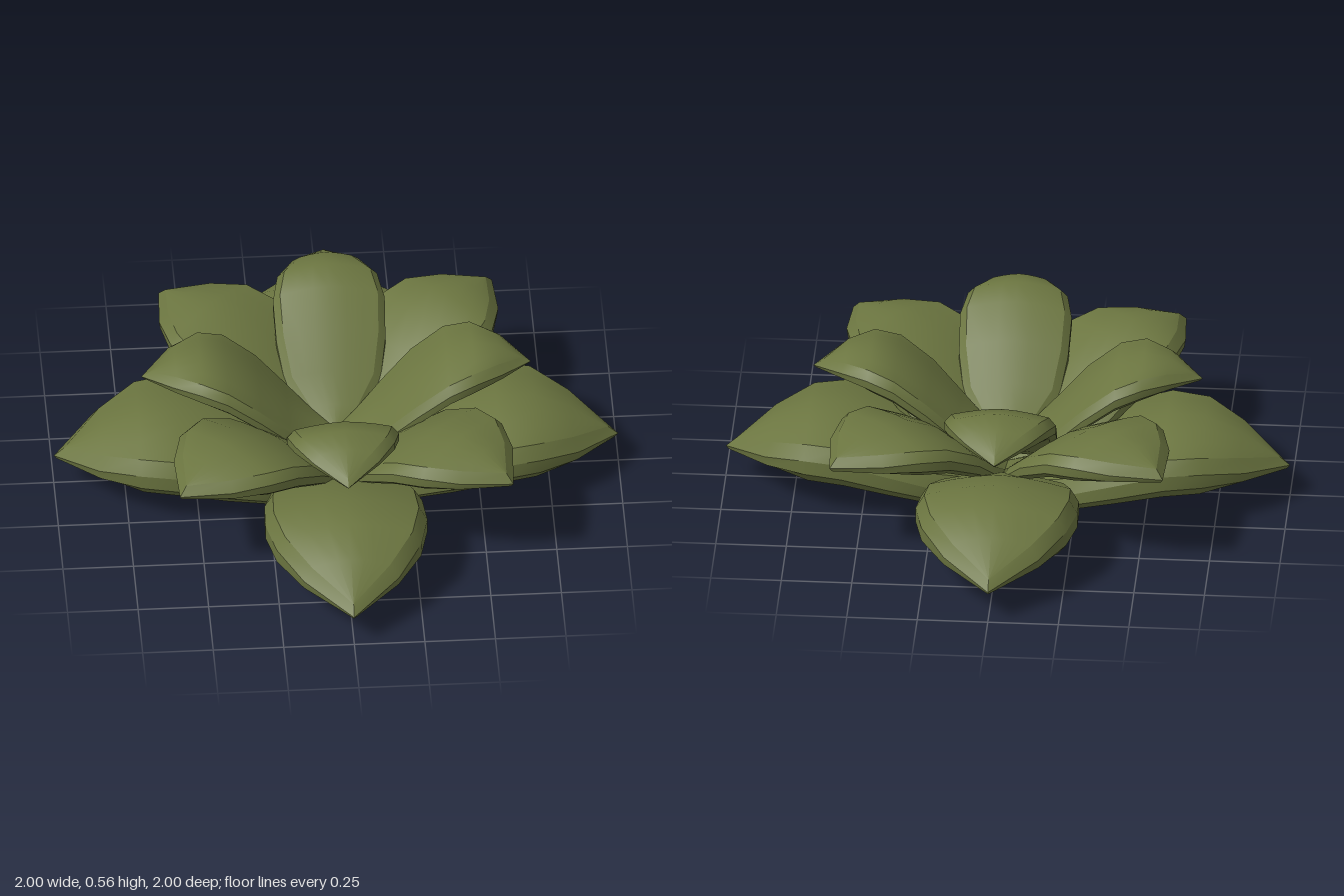
import * as THREE from 'three';

// Petal stations from root to tip, for a petal of length 1
const T = [0, 0.12, 0.25, 0.4, 0.57, 0.71, 0.85, 1];
const HALF_WIDTH = [0, 0.155, 0.245, 0.28, 0.287, 0.256, 0.168, 0];
// Drops below the centre ridge: crown edge, upper side, lower side, rim bottom, underside
const CROWN = [0, 0.02, 0.036, 0.046, 0.05, 0.046, 0.03, 0];
const UPPER = [0.02, 0.055, 0.082, 0.097, 0.102, 0.097, 0.075, 0.032];
const LOWER = [0.05, 0.085, 0.125, 0.148, 0.158, 0.15, 0.108, 0.046];
const RIM = [0.07, 0.108, 0.158, 0.183, 0.197, 0.19, 0.132, 0.052];
const UNDER = [0.07, 0.1, 0.128, 0.14, 0.142, 0.135, 0.105, 0.052];

// Cross-section of a petal at station i, split into strips that meet in sharp edges
function section(i, { length, ridge, thick, tipThick }) {
  const t = T[i], hw = HALF_WIDTH[i] * length, z = t * length;
  const bevel = 0.03 * Math.sqrt(length);
  const inner = Math.max(0, hw - bevel);
  const depth = thick + (tipThick - thick) * t ** 6;
  const height = (drops) => ridge[i] - drops[i] * depth;
  // Curved row of points across the petal, from -x to +x, pulled back near the tip
  const arc = (middle, edge, pull) => [-3, -2, -1, 0, 1, 2, 3].map((k) => {
    const s = Math.abs(k / 3);
    return [k / 3 * inner, middle + (edge - middle) * s ** 1.6, z - pull * bevel * t ** 4];
  });
  const top = arc(ridge[i], height(CROWN), 1.2);
  const bottom = arc(height(UNDER), height(RIM), 2).reverse();
  const side = (x) => [[x, height(UPPER), z], [x, height(LOWER), z - 0.4 * bevel * t ** 4]];
  const [rightUp, rightLow] = side(hw), [leftUp, leftLow] = side(-hw);
  return [
    top, [top[6], rightUp], [rightUp, rightLow], [rightLow, bottom[0]],
    bottom, [bottom[6], leftLow], [leftLow, leftUp], [leftUp, top[0]],
  ];
}

function petalGeometry(tier) {
  const sections = T.map((_, i) => section(i, tier));
  const positions = [], index = [];
  for (let s = 0; s < sections[0].length; s++) {
    const n = sections[0][s].length, base = positions.length / 3;
    for (const strips of sections) positions.push(...strips[s].flat());
    for (let i = 0; i < T.length - 1; i++) {
      for (let j = 0; j < n - 1; j++) {
        const a = base + i * n + j;
        index.push(a, a + n, a + n + 1, a, a + n + 1, a + 1);
      }
    }
  }
  const geometry = new THREE.BufferGeometry();
  geometry.setAttribute('position', new THREE.Float32BufferAttribute(positions, 3));
  geometry.setIndex(index);
  geometry.computeVertexNormals();
  return geometry;
}

// Three whorls of four petals, each shorter and steeper than the one below
const TIERS = [
  { name: 'lower', length: 1, thick: 1, tipThick: 1, turn: 0,
    ridge: [0.07, 0.115, 0.19, 0.262, 0.314, 0.307, 0.248, 0.152] },
  { name: 'middle', length: 0.835, thick: 0.63, tipThick: 1, turn: Math.PI / 4,
    ridge: [0.1, 0.155, 0.245, 0.355, 0.435, 0.458, 0.444, 0.402] },
  { name: 'upper', length: 0.69, thick: 0.58, tipThick: 0.62, turn: 0,
    ridge: [0.19, 0.235, 0.315, 0.43, 0.525, 0.555, 0.538, 0.478] },
];

export function createModel() {
  const model = new THREE.Group();
  model.name = 'succulentRosette';
  const leafGreen = new THREE.MeshStandardMaterial({ color: 0x6b7540 });
  leafGreen.name = 'leafGreen';

  for (const tier of TIERS) {
    const whorl = new THREE.Group();
    whorl.name = tier.name + 'Whorl';
    const geometry = petalGeometry(tier);
    for (let k = 0; k < 4; k++) {
      const petal = new THREE.Mesh(geometry, leafGreen);
      petal.name = tier.name + 'Petal' + (k + 1);
      petal.rotation.y = tier.turn + k * Math.PI / 2;
      whorl.add(petal);
    }
    model.add(whorl);
  }
  return model;
}
